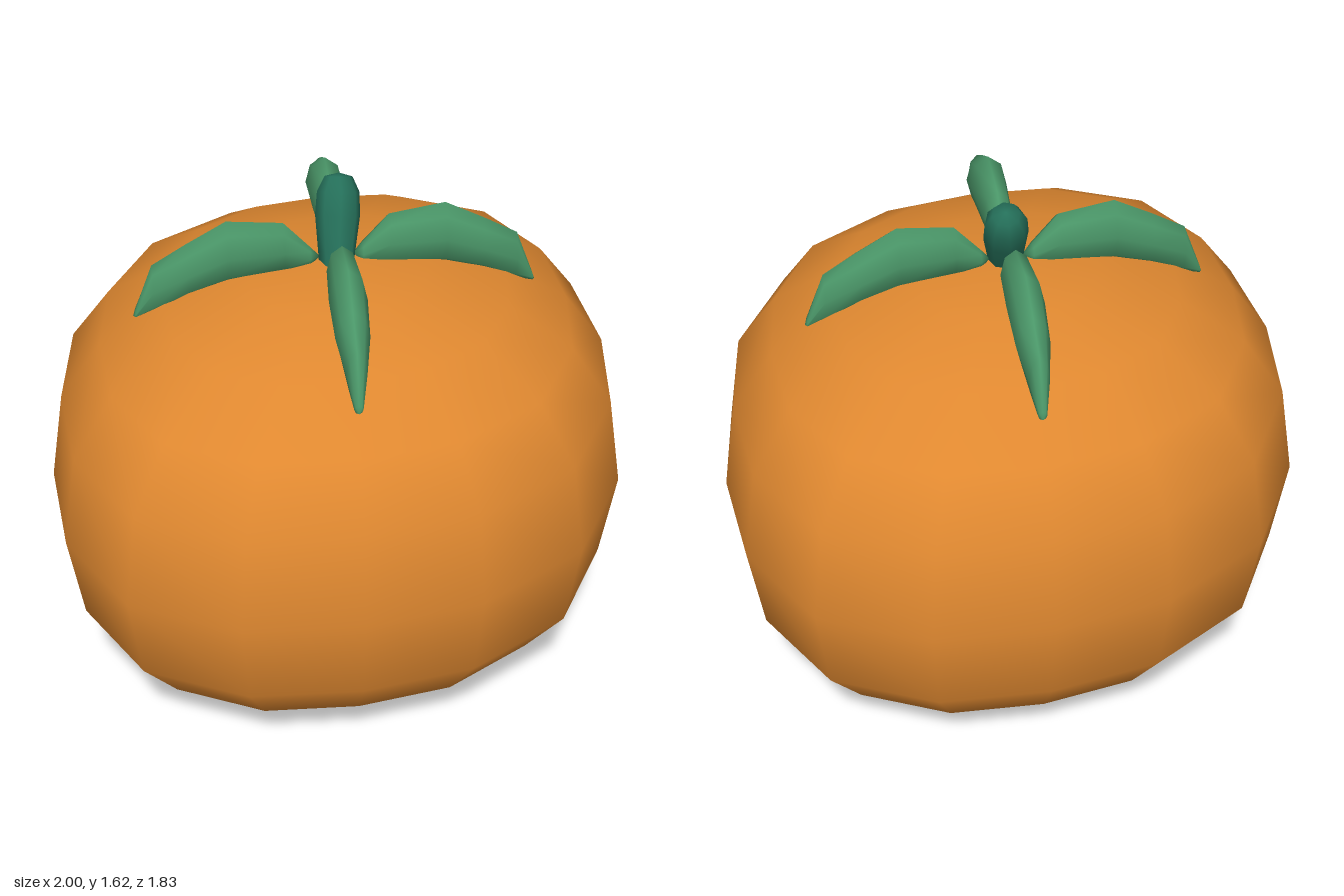
import * as THREE from 'three';
import { mergeVertices } from 'three/addons/utils/BufferGeometryUtils.js';

const orange = new THREE.MeshStandardMaterial({ name: 'orange skin', color: 0xdf8830 });
const leafGreen = new THREE.MeshStandardMaterial({ name: 'leaf green', color: 0x4a9668 });
const stemGreen = new THREE.MeshStandardMaterial({ name: 'stem green', color: 0x25705a });

// Weld the seams so that the normals are smooth all round.
function weld(geometry) {
  geometry.deleteAttribute('uv');
  geometry.deleteAttribute('normal');
  const welded = mergeVertices(geometry, 1e-4);
  welded.computeVertexNormals();
  return welded;
}

// Squashed sphere with four gentle lobes and flattened top and bottom.
function fruitGeometry() {
  const geometry = new THREE.SphereGeometry(1, 16, 10);
  const p = geometry.attributes.position;
  for (let i = 0; i < p.count; i++) {
    const x = p.getX(i), y = p.getY(i), z = p.getZ(i);
    const lobe = 0.967 + 0.033 * Math.cos(4 * Math.atan2(z, x));
    const height = Math.abs(y) < 1e-6 ? 0 : Math.sign(y) * Math.abs(y) ** 0.75;
    p.setXYZ(i, x * lobe, 0.693 + 0.693 * height, z * lobe * 0.915);
  }
  return weld(geometry);
}

// Plump leaf along +x, lofted from upright oval sections.
function leafGeometry() {
  // distance from centre, top, bottom, half width
  const sections = [
    [0.05, 1.39, 1.39, 0],
    [0.08, 1.425, 1.36, 0.024],
    [0.16, 1.515, 1.35, 0.045],
    [0.33, 1.537, 1.335, 0.056],
    [0.45, 1.472, 1.30, 0.05],
    [0.555, 1.41, 1.25, 0.03],
    [0.61, 1.262, 1.236, 0.013],
    [0.617, 1.24, 1.24, 0],
  ];
  const sides = 8, points = [], index = [];
  sections.forEach(([r, top, bottom, width], i) => {
    for (let j = 0; j < sides; j++) {
      const a = (j / sides) * Math.PI * 2;
      points.push(r, (top + bottom) / 2 + Math.cos(a) * (top - bottom) / 2, Math.sin(a) * width);
      if (i === sections.length - 1) continue;
      const k = i * sides + j, n = i * sides + (j + 1) % sides;
      index.push(k, n, k + sides, n, n + sides, k + sides);
    }
  });
  const geometry = new THREE.BufferGeometry();
  geometry.setAttribute('position', new THREE.Float32BufferAttribute(points, 3));
  geometry.setIndex(index);
  return weld(geometry);
}

// Short round-topped stalk, widening upwards.
function stemGeometry() {
  const profile = [[0.05, -0.04], [0.056, 0.02], [0.068, 0.13], [0.064, 0.2], [0.042, 0.245], [0, 0.256]];
  return weld(new THREE.LatheGeometry(profile.map(([r, y]) => new THREE.Vector2(r, y)), 8));
}

export function createModel() {
  const model = new THREE.Group();
  model.name = 'fruit';
  const add = (name, geometry, material) => {
    const mesh = new THREE.Mesh(geometry, material);
    mesh.name = name;
    model.add(mesh);
    return mesh;
  };

  add('body', fruitGeometry(), orange);

  // Four leaves on the diagonals
  const leaf = leafGeometry();
  [43, 137, 223, 317].forEach((degrees, i) => {
    add('leaf' + (i + 1), leaf, leafGreen).rotation.y = THREE.MathUtils.degToRad(degrees);
  });

  // Stem leaning to its left and back
  const stem = add('stem', stemGeometry(), stemGreen);
  stem.position.set(-0.005, 1.38, 0.005);
  stem.quaternion.setFromUnitVectors(
    new THREE.Vector3(0, 1, 0),
    new THREE.Vector3(0.09, 0.22, -0.06).normalize(),
  );
  return model;
}
